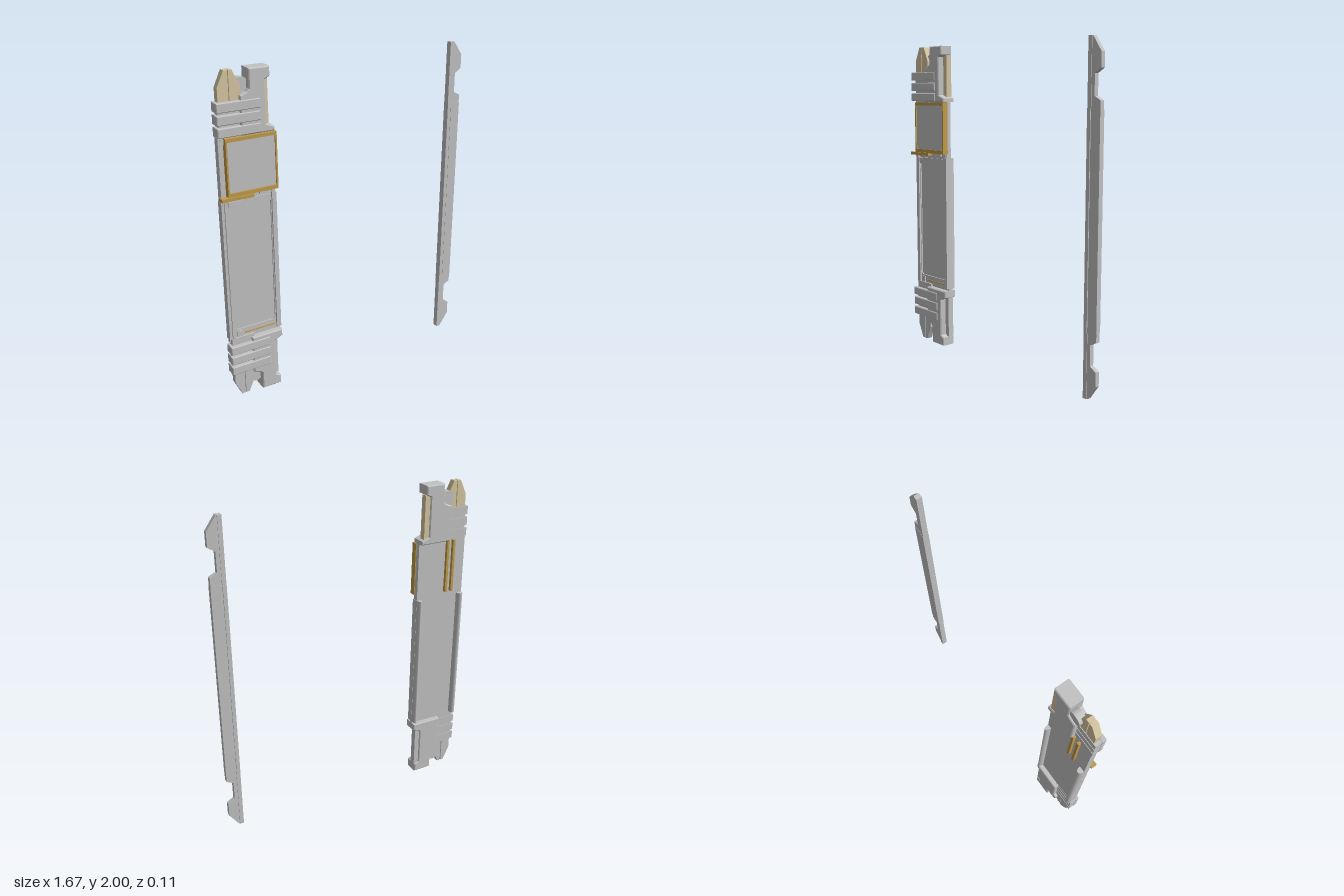
import * as THREE from 'three';

export function createModel() {
  const root = new THREE.Group();
  const mat = (name, color) => {
    const m = new THREE.MeshStandardMaterial({ color });
    m.name = name;
    return m;
  };
  const grey = mat('bodyGrey', 0xc3c3c3);
  const tan = mat('paleTan', 0xd6c7a2);
  const gold = mat('gold', 0xc09b4c);

  const add = (name, geometry, material, parent = root) => {
    const m = new THREE.Mesh(geometry, material);
    m.name = name;
    parent.add(m);
    return m;
  };
  // Box given by its limits on each axis
  const box = (name, x0, x1, y0, y1, z0, z1, material = grey, parent = root) => {
    const g = new THREE.BoxGeometry(x1 - x0, y1 - y0, z1 - z0);
    g.translate((x0 + x1) / 2, (y0 + y1) / 2, (z0 + z1) / 2);
    return add(name, g, material, parent);
  };
  const toVectors = pts => pts.map(([x, y]) => new THREE.Vector2(x, y));
  // Outline extruded from z0 to z1, with an optional bevel and hole
  const plate = (name, pts, z0, z1, material = grey, parent = root, b = 0, hole = null) => {
    const s = new THREE.Shape(toVectors(pts));
    if (hole) s.holes.push(new THREE.Path(toVectors(hole)));
    const g = new THREE.ExtrudeGeometry(s, {
      depth: z1 - z0 - 2 * b, bevelEnabled: b > 0, bevelThickness: b,
      bevelSize: b, bevelOffset: -b, bevelSegments: 1,
    });
    g.translate(0, 0, z0 + b);
    return add(name, g, material, parent);
  };
  const rect = (x0, x1, y0, y1) => [[x0, y0], [x1, y0], [x1, y1], [x0, y1]];

  // End assembly: drawn for the top, flipped about y = 1 for the bottom
  const endAssembly = (name, flip, accent) => {
    const end = new THREE.Group();
    end.name = name;
    root.add(end);
    const fy = y => (flip ? 2 - y : y);
    const fp = pts => pts.map(([x, y]) => [x, fy(y)]);
    const fbox = (n, x0, x1, y0, y1, z0, z1, m) =>
      box(n, x0, x1, Math.min(fy(y0), fy(y1)), Math.max(fy(y0), fy(y1)), z0, z1, m, end);
    const base = flip ? 1.62 : 1.64;

    // Notched end block
    plate('endBlock', fp([
      [-0.69, base], [-0.49, base], [-0.49, 1.665], [-0.54, 1.685], [-0.54, 1.93],
      [-0.51, 1.945], [-0.51, 2], [-0.635, 2], [-0.635, 1.89], [-0.65, 1.875],
      [-0.69, 1.86],
    ]), -0.052, 0.04, grey, end, 0.006);
    fbox('sidePanel', -0.542, -0.507, 1.672, 1.942, -0.043, -0.004, accent);

    // Twin-blade spike with a seam down the middle
    for (const s of [-1, 1]) {
      const cx = -0.745;
      plate('spikeBlade', fp([
        [cx + s * 0.002, 1.62], [cx + s * 0.066, 1.62], [cx + s * 0.066, 1.91],
        [cx + s * 0.024, 2], [cx + s * 0.002, 2],
      ]), -0.02, 0.02, accent, end, 0.001);
    }
    fbox('spikeCore', -0.75, -0.74, 1.62, 1.995, -0.012, 0.012, accent);

    // Round pivot behind the spike
    const pivot = new THREE.CylinderGeometry(0.046, 0.046, 0.045, 24);
    pivot.rotateX(Math.PI / 2);
    pivot.translate(-0.665, fy(1.905), -0.018);
    add('pivot', pivot, grey, end);

    // Three clamp bars
    for (const y of [1.645, 1.713, 1.782]) {
      plate('clampBar', fp(rect(-0.832, -0.575, y, y + 0.053)), 0.015, 0.046, grey, end, 0.004);
      fbox('clampBarBack', -0.83, -0.68, y, y + 0.053, -0.024, 0.017, grey);
    }
    fbox('clampCore', -0.815, -0.67, 1.6, 1.83, -0.021, 0.021, grey);
  };
  endAssembly('topEnd', false, tan);
  endAssembly('bottomEnd', true, grey);

  // Main body plate
  box('bodyPlate', -0.823, -0.492, 0.37, 1.65, -0.02, 0.002);
  box('upperBacking', -0.825, -0.49, 1.27, 1.64, -0.021, 0.012);

  // Frame round the recessed lower panel, with clipped corners
  const c = 0.012;
  plate('panelFrame', rect(-0.82, -0.495, 0.395, 1.265), 0, 0.01, grey, root, 0, [
    [-0.785 + c, 0.45], [-0.52 - c, 0.45], [-0.52, 0.45 + c], [-0.52, 1.235 - c],
    [-0.52 - c, 1.235], [-0.785 + c, 1.235], [-0.785, 1.235 - c], [-0.785, 0.45 + c],
  ]);
  plate('cornerWedge', [[-0.785, 1.235], [-0.69, 1.265], [-0.785, 1.265]], 0.008, 0.018);

  // Front side rails and half-round rails on the back
  box('leftRail', -0.826, -0.812, 0.395, 1.272, -0.02, 0.016);
  box('leftRailInner', -0.808, -0.79, 0.395, 1.272, 0, 0.022);
  box('rightRail', -0.516, -0.488, 0.395, 1.272, -0.02, 0.022);
  for (const [x, r] of [[-0.806, 0.02], [-0.503, 0.014]]) {
    const g = new THREE.CylinderGeometry(r, r, 0.882, 16);
    g.scale(1, 1, 0.034 / r);
    g.translate(x, 0.832, -0.019);
    add('backRail', g, grey);
  }

  // Upper display with its gold surround
  box('displayLeftStrip', -0.825, -0.797, 1.27, 1.637, 0, 0.02);
  plate('displayFrame', rect(-0.792, -0.485, 1.302, 1.637), 0.008, 0.046, gold, root, 0,
    rect(-0.783, -0.495, 1.325, 1.617));
  box('display', -0.785, -0.493, 1.322, 1.62, 0.01, 0.038);
  box('displayTrim', -0.835, -0.64, 1.284, 1.303, 0.02, 0.055, gold);
  box('latch', -0.592, -0.542, 1.283, 1.306, 0.01, 0.026);
  box('latchSide', -0.515, -0.495, 1.272, 1.302, 0.01, 0.02);

  // Gold rods on the back
  for (const x of [-0.735, -0.692]) box('backRod', x - 0.008, x + 0.008, 1.3, 1.637, -0.04, -0.018, gold);

  // Details below the panel
  box('lowerTrim', -0.725, -0.525, 0.416, 0.422, 0.008, 0.016, gold);
  box('lowerTab', -0.775, -0.74, 0.402, 0.44, 0.008, 0.018);

  // Separate side strip: half outline, mirrored about y = 1
  const half = [[0.77, 2], [0.83, 1.915], [0.83, 1.83], [0.787, 1.803], [0.787, 1.683], [0.83, 1.66], [0.83, 1.612]];
  const outline = [[0.742, 2], ...half, ...half.map(([x, y]) => [x, 2 - y]).reverse(), [0.742, 0]];
  const strip = new THREE.Group();
  strip.name = 'sideStrip';
  root.add(strip);
  plate('stripBlade', outline, -0.014, 0.014, grey, strip);
  box('stripSpine', 0.74, 0.763, 0.38, 1.62, -0.02, 0.019, grey, strip);
  box('stripInlay', 0.768, 0.831, 0.395, 1.612, -0.016, 0.016, grey, strip);
  for (const s of [1, -1]) {
    plate('stripTipSpine', [[0.74, 1.62], [0.765, 1.62], [0.765, 2], [0.74, 2]]
      .map(([x, y]) => [x, 1 + s * (y - 1)]), -0.018, 0.017, grey, strip);
  }
  return root;
}
